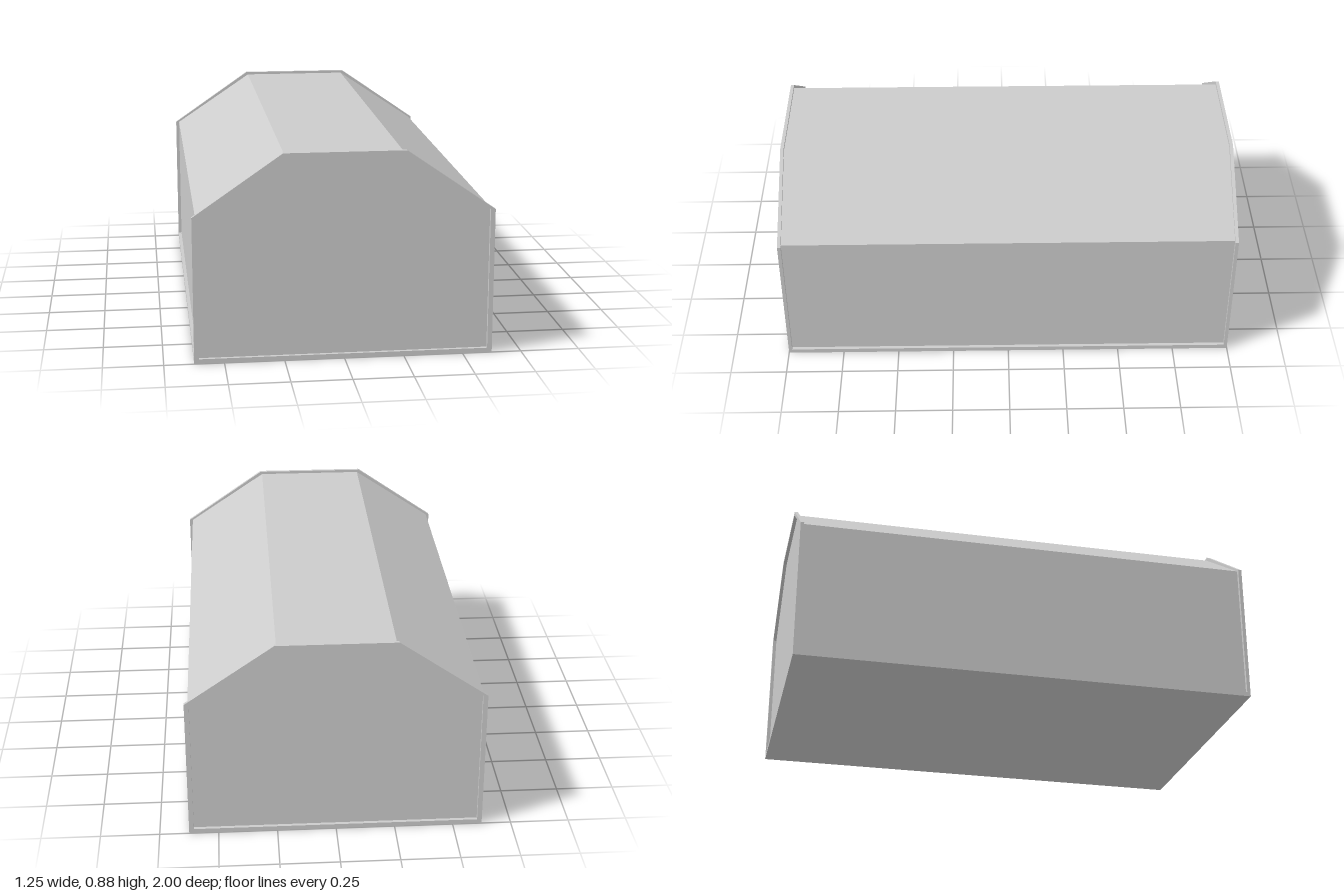
import * as THREE from 'three';

const W = 0.625, T = 0.015, HALF = 1, RAIL = 0.02;

// Closed barn-like outline: floor, walls, two slopes and a flat ridge
function outline(PathType, wall, eave, ridge, top, floor) {
  return new PathType([
    [-wall, floor], [wall, floor], [wall, eave],
    [ridge, top], [-ridge, top], [-wall, eave],
  ].map(([x, y]) => new THREE.Vector2(x, y)));
}

export function createModel() {
  const group = new THREE.Group();
  const material = new THREE.MeshStandardMaterial({ color: 0xcccccc, flatShading: true });

  function add(name, geometry, x, y, z) {
    const mesh = new THREE.Mesh(geometry, material);
    mesh.name = name;
    mesh.position.set(x, y, z);
    group.add(mesh);
  }
  const extrude = (shape, depth) =>
    new THREE.ExtrudeGeometry(shape, { depth, bevelEnabled: false });

  // Main body: recessed walls, roof and floor
  const length = 2 * (HALF - T);
  add('body', extrude(outline(THREE.Shape, W - T, 0.622, 0.245, 0.867, 0), length), 0, 0, -length / 2);

  // Raised frames around both ends
  const frame = outline(THREE.Shape, W, 0.622, 0.253, 0.879, 0);
  frame.holes.push(outline(THREE.Path, W - RAIL, 0.622, 0.245, 0.865, RAIL));
  const frameGeometry = extrude(frame, T);
  add('frontFrame', frameGeometry, 0, 0, HALF - T);
  add('backFrame', frameGeometry, 0, 0, -HALF);

  // Rails along the foot of each side wall
  const railGeometry = new THREE.BoxGeometry(T, RAIL, length);
  for (const [name, side] of [['leftRail', 1], ['rightRail', -1]]) {
    add(name, railGeometry, side * (W - T / 2), RAIL / 2, 0);
  }
  return group;
}
